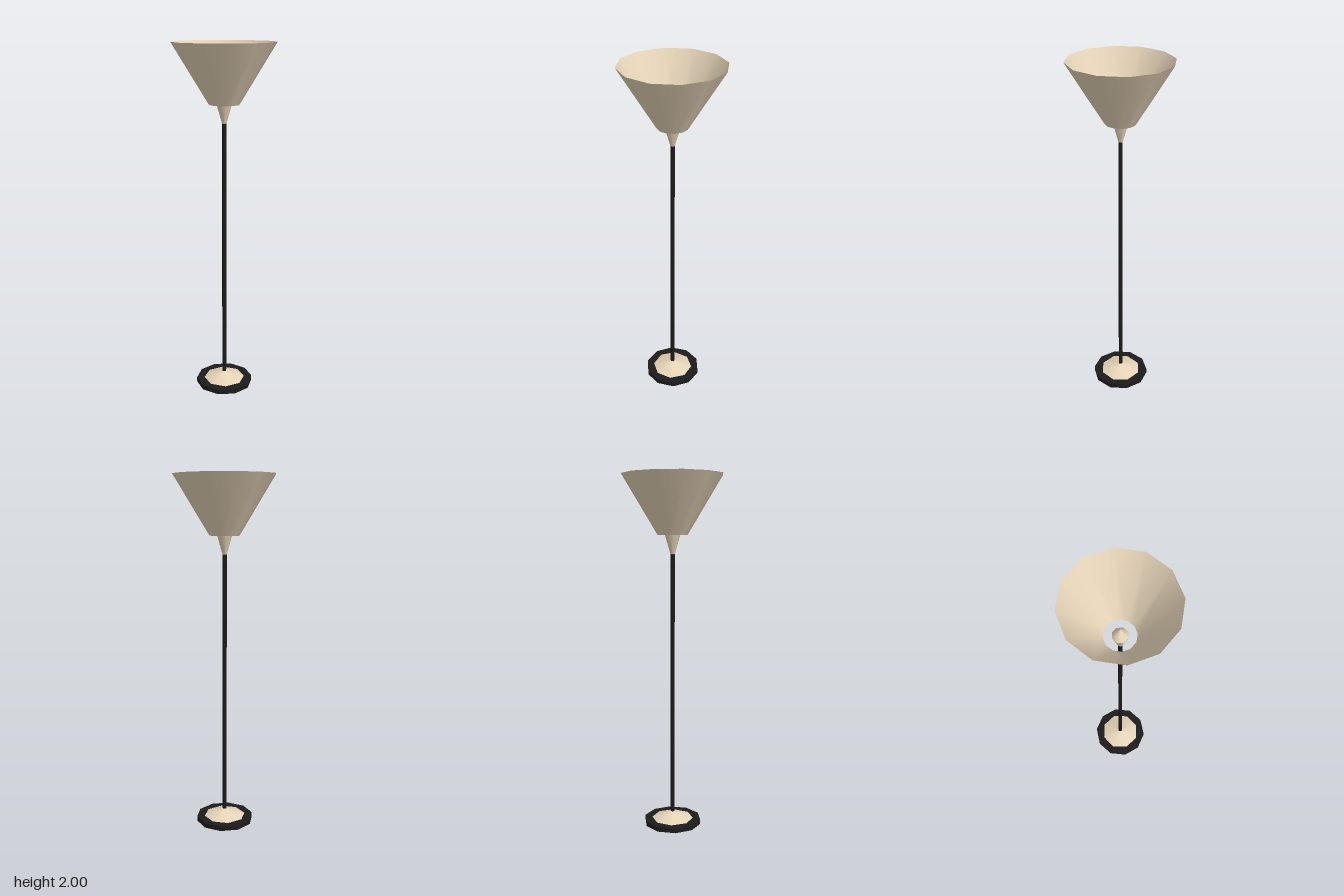
import * as THREE from 'three';

export function createModel() {
  const lamp = new THREE.Group();
  lamp.name = 'floorLamp';

  const cream = new THREE.MeshStandardMaterial({ color: 0xe6d4b8 });
  const creamThin = new THREE.MeshStandardMaterial({ color: 0xe6d4b8, side: THREE.DoubleSide });
  const black = new THREE.MeshStandardMaterial({ color: 0x1c1c1c });

  // Upright tapered cylinder between two heights
  function taper(name, material, rTop, rBottom, y0, y1, sides, open = false, turn = 0) {
    const geometry = new THREE.CylinderGeometry(rTop, rBottom, y1 - y0, sides, 1, open);
    geometry.rotateY(turn);
    const mesh = new THREE.Mesh(geometry, material);
    mesh.name = name;
    mesh.position.y = (y0 + y1) / 2;
    lamp.add(mesh);
  }

  // Foot: ten-sided plate with a shallow cone on top
  taper('basePlate', black, 0.165, 0.165, 0, 0.028, 10, false, Math.PI / 2);
  taper('baseCone', cream, 0.008, 0.12, 0.028, 0.07, 8, true);

  // Pole
  taper('pole', black, 0.012, 0.012, 0.02, 1.58, 8);

  // Socket flaring up from the pole, with a pointed bulb inside the shade
  taper('socket', cream, 0.043, 0.011, 1.565, 1.675, 8, true, 0.06);
  taper('bulb', cream, 0.004, 0.043, 1.675, 1.735, 8, false, 0.06);

  // Open shade
  taper('shade', creamThin, 0.284, 0.084, 1.672, 2, 12, true);

  return lamp;
}
